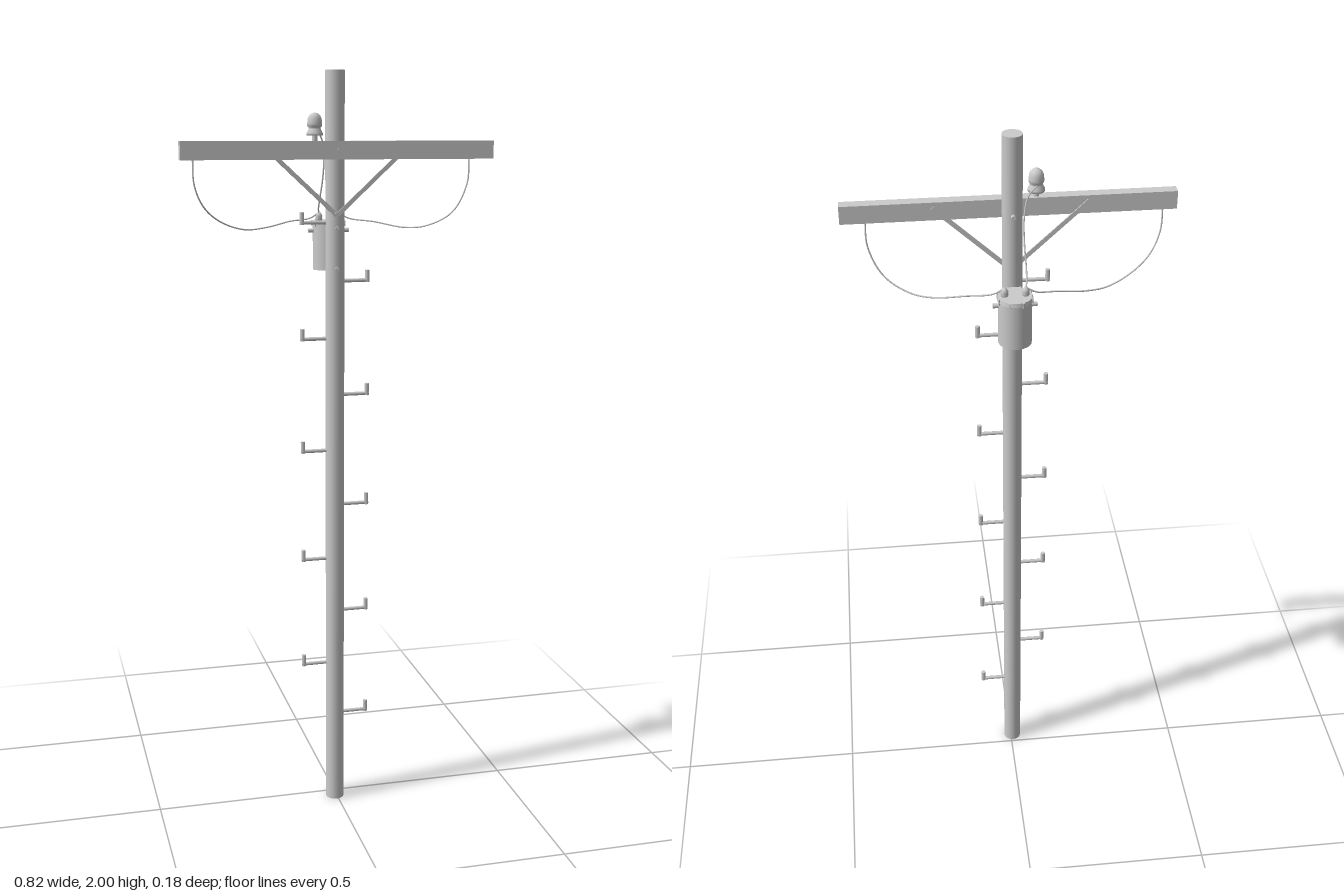
import * as THREE from 'three';

const mat = new THREE.MeshStandardMaterial({ color: 0xcccccc });
const POLE = { x: -0.005, z: 0.031, r: 0.025 };
const TANK = { x: -0.004, z: -0.045, r: 0.042 };

export function createModel() {
  const model = new THREE.Group();
  model.name = 'utilityPole';

  const add = (name, geo, x = 0, y = 0, z = 0, parent = model) => {
    const mesh = new THREE.Mesh(geo, mat);
    mesh.name = name;
    mesh.position.set(x, y, z);
    parent.add(mesh);
    return mesh;
  };
  const cyl = (r1, r2, h, n = 12) => new THREE.CylinderGeometry(r1, r2, h, n);
  const lathe = (pts, n = 16) =>
    new THREE.LatheGeometry(pts.map(([r, y]) => new THREE.Vector2(r, y)), n);
  const wire = (name, pts) => {
    const curve = new THREE.CatmullRomCurve3(pts.map((p) => new THREE.Vector3(...p)));
    add(name, new THREE.TubeGeometry(curve, 40, 0.002, 6));
  };

  // Pole and crossarm
  add('pole', cyl(POLE.r, POLE.r, 2, 18), POLE.x, 1, POLE.z);
  add('crossarm', new THREE.BoxGeometry(0.818, 0.046, 0.028), -0.002, 1.802, 0.069);
  const armBolt = add('crossarmBolt', cyl(0.006, 0.006, 0.09, 8), POLE.x, 1.802, 0.041);
  armBolt.rotation.x = Math.PI / 2;

  // Diagonal flat braces meeting on the front of the pole
  for (const s of [-1, 1]) {
    const dx = 0.19, dy = 0.175;
    const brace = add('brace', new THREE.BoxGeometry(Math.hypot(dx, dy), 0.011, 0.004),
      POLE.x + s * dx / 2, 1.637 + dy / 2, 0.054);
    brace.rotation.z = s * Math.atan2(dy, dx);
  }
  add('braceBolt', cyl(0.006, 0.006, 0.012, 6), POLE.x, 1.642, 0.056).rotation.x = Math.PI / 2;

  // Climbing pegs alternate sides, each with an upturned tip
  for (let i = 0; i < 10; i++) {
    const s = i % 2 ? -1 : 1;
    const peg = new THREE.Group();
    peg.name = 'climbingPeg';
    peg.position.set(POLE.x, 0.255 + i * 0.1515, POLE.z);
    const bar = add('pegBar', cyl(0.005, 0.005, 0.085, 8), s * 0.0505, 0, 0, peg);
    bar.rotation.z = Math.PI / 2;
    add('pegTip', cyl(0.006, 0.006, 0.032, 8), s * 0.088, 0.011, 0, peg);
    model.add(peg);
  }

  // Pin insulator standing on the crossarm
  add('insulatorPin', cyl(0.007, 0.007, 0.03, 8), -0.067, 1.832, 0.068);
  add('insulator', lathe([
    [0, 0.012], [0.014, 0.012], [0.021, 0.008], [0.021, 0.014], [0.016, 0.024], [0.015, 0.028],
    [0.019, 0.031], [0.019, 0.038], [0.018, 0.05], [0.014, 0.058], [0.008, 0.063], [0, 0.065],
  ]), -0.067, 1.83, 0.068);

  // Transformer tank with an overhanging lid
  const tank = new THREE.Group();
  tank.name = 'transformer';
  tank.position.set(TANK.x, 1.49, TANK.z);
  model.add(tank);
  add('tankBody', cyl(TANK.r, TANK.r, 0.124, 16), 0, 0.062, 0, tank);
  add('tankLid', cyl(0.043, 0.045, 0.01, 16), 0, 0.124, 0, tank);
  for (let i = 0; i < 8; i++) {
    const a = (i + 0.5) * Math.PI / 4;
    add('lidClamp', new THREE.BoxGeometry(0.005, 0.014, 0.005),
      0.0435 * Math.cos(a), 0.122, 0.0435 * Math.sin(a), tank).rotation.y = -a;
  }
  for (const s of [-1, 1]) {
    // Lid bushings and side terminals
    add('lidBushing', lathe([
      [0.008, 0], [0.01, 0.004], [0.008, 0.008], [0.01, 0.012], [0.007, 0.017], [0.004, 0.022], [0, 0.023],
    ], 10), s * 0.026, 0.129, 0, tank);
    add('sideTerminal', cyl(0.005, 0.006, 0.018, 8), s * 0.046, 0.103, 0, tank).rotation.z = Math.PI / 2;
  }

  // Mounting brackets between tank and pole, bolted through to the front
  for (const y of [1.5, 1.605]) {
    add('mountBracket', new THREE.BoxGeometry(0.026, 0.012, 0.024), POLE.x, y, 0.002);
    add('mountBolt', cyl(0.003, 0.003, 0.07, 8), POLE.x, y, 0.033).rotation.x = Math.PI / 2;
    add('mountNut', cyl(0.006, 0.006, 0.006, 6), POLE.x, y, 0.059).rotation.x = Math.PI / 2;
  }

  // Slack wires from the crossarm and insulator to the bushings
  wire('rightWire', [
    [-0.378, 1.782, 0.066], [-0.375, 1.72, 0.061], [-0.352, 1.665, 0.051], [-0.31, 1.627, 0.035],
    [-0.24, 1.602, 0.006], [-0.177, 1.605, -0.016], [-0.108, 1.619, -0.035], [-0.055, 1.625, -0.043],
    [-0.03, 1.64, -0.045],
  ]);
  wire('leftWire', [
    [0.346, 1.782, 0.066], [0.344, 1.715, 0.06], [0.31, 1.642, 0.046], [0.25, 1.606, 0.02],
    [0.195, 1.6, 0.0], [0.115, 1.615, -0.028], [0.05, 1.624, -0.042], [0.022, 1.64, -0.045],
  ]);
  wire('insulatorWire', [
    [-0.067, 1.857, 0.052], [-0.046, 1.835, 0.046], [-0.034, 1.79, 0.03], [-0.032, 1.73, 0.008],
    [-0.034, 1.68, -0.015], [-0.033, 1.65, -0.036], [-0.03, 1.638, -0.045],
  ]);

  return model;
}
